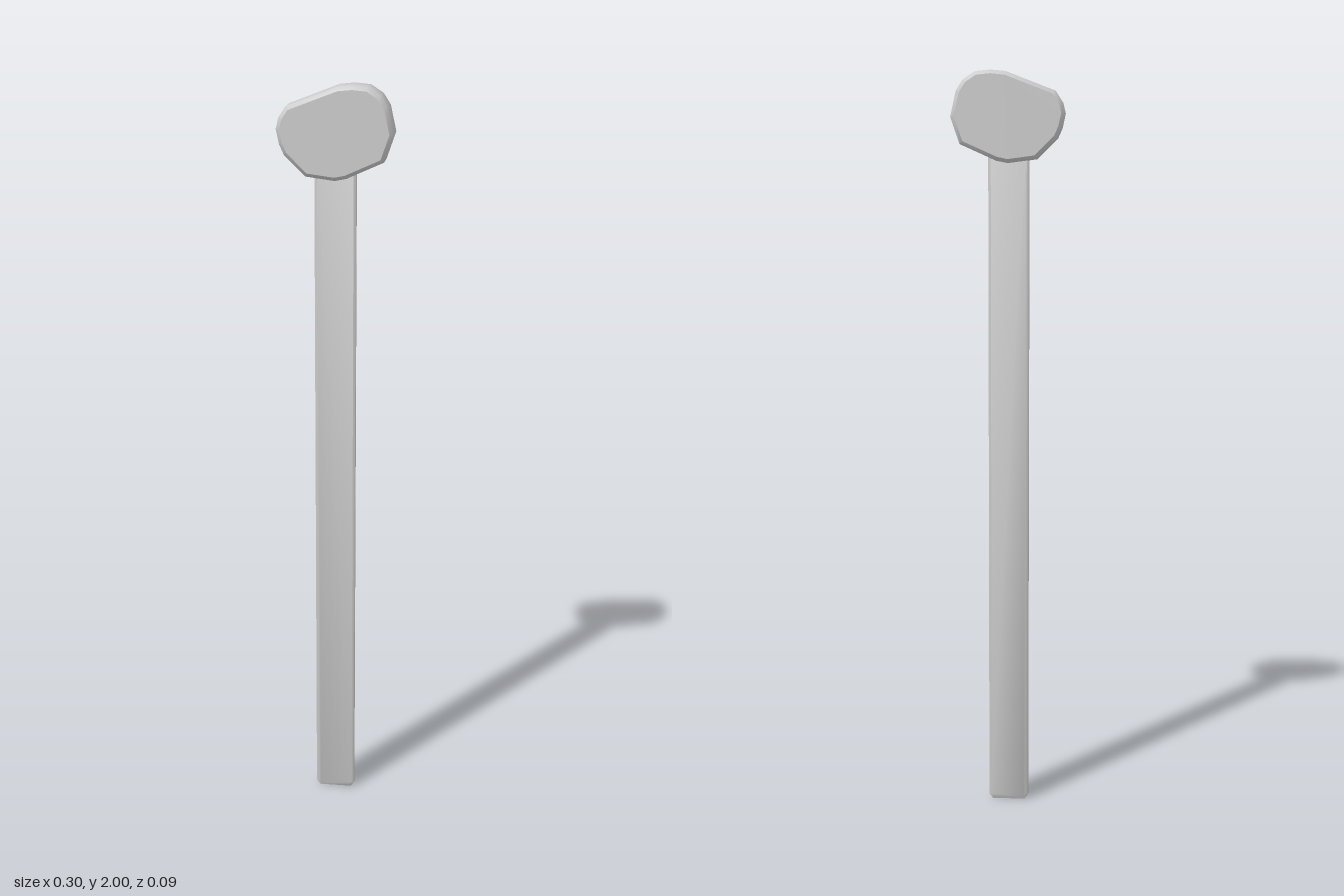
import * as THREE from 'three';
import { toCreasedNormals } from 'three/addons/utils/BufferGeometryUtils.js';

const grey = new THREE.MeshStandardMaterial({ color: 0xcccccc });

// Slab with the given front outline and chamfered front and back rims
function chamferedSlab(name, outline, zBack, zFront, chamfer, inset) {
  const shape = new THREE.Shape(outline.map(([x, y]) => new THREE.Vector2(x, y)));
  const geometry = new THREE.ExtrudeGeometry(shape, {
    depth: zFront - zBack - 2 * chamfer,
    bevelEnabled: true,
    bevelSegments: 1,
    bevelThickness: chamfer,
    bevelSize: inset,
    bevelOffset: -inset,
  });
  geometry.translate(0, 0, zBack + chamfer);
  const mesh = new THREE.Mesh(toCreasedNormals(geometry, 0.75), grey);
  mesh.name = name;
  return mesh;
}

export function createModel() {
  const model = new THREE.Group();
  model.name = 'post';

  // Long flat shaft, clipped at its lower corners, running up into the head
  model.add(chamferedSlab('shaft', [
    [-0.046, 0], [0.043, 0], [0.053, 0.014], [0.053, 1.82], [-0.056, 1.82], [-0.056, 0.014],
  ], -0.009, 0.009, 0.005, 0.007));

  // Irregular rounded head
  model.add(chamferedSlab('head', [
    [-0.15, 1.89], [-0.142, 1.852], [-0.13, 1.825], [-0.075, 1.771], [0, 1.761], [0.03, 1.767],
    [0.126, 1.81], [0.15, 1.88], [0.135, 1.947], [0.117, 1.975], [0.085, 1.996],
    [0.045, 2], [0.005, 1.996], [-0.125, 1.946], [-0.143, 1.918],
  ], -0.047, 0.045, 0.011, 0.01));

  return model;
}
